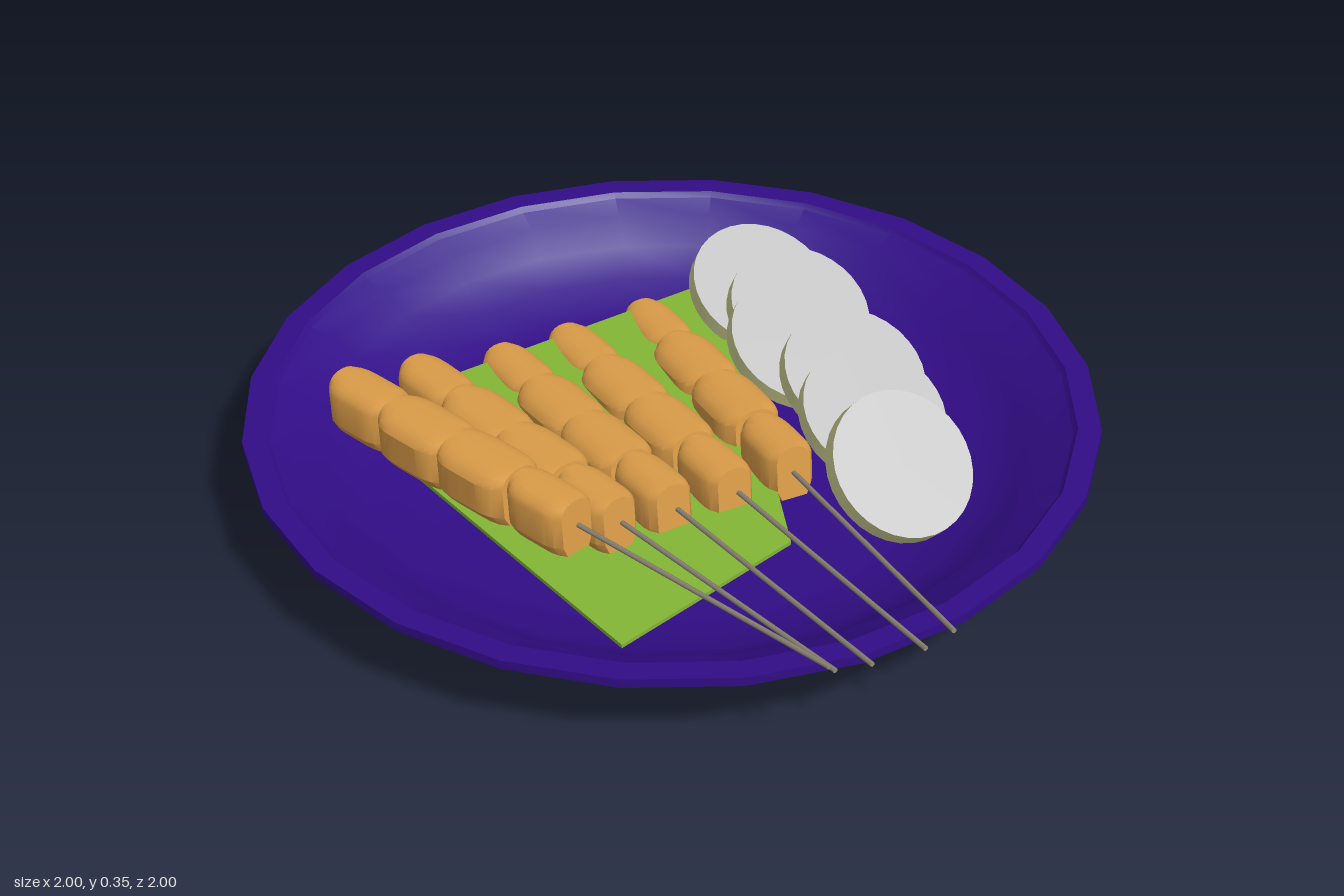
import * as THREE from 'three';
import { toCreasedNormals } from 'three/addons/utils/BufferGeometryUtils.js';

const flat = (name, color) => {
  const m = new THREE.MeshStandardMaterial({ color });
  m.name = name;
  return m;
};

const mats = {
  plate: flat('indigo glaze', 0x320d88),
  leaf: flat('leaf green', 0x84b636),
  meat: flat('golden brown', 0xdf9f4a),
  stick: flat('stick grey', 0x8e8676),
  slice: flat('slice grey', 0xc0c0c0),
  rind: flat('pale yellow rind', 0xd4d698),
};

function add(parent, name, geometry, material) {
  const mesh = new THREE.Mesh(geometry, material);
  mesh.name = name;
  parent.add(mesh);
  return mesh;
}

// Plate: closed lathe from underside centre, around the rim, to inside centre
function plateGeometry() {
  const profile = [
    [0, 0.04], [0.28, 0.04], [0.29, 0.046], [0.565, 0.046], [0.575, 0], [0.6, 0],
    [0.6, 0.033], [0.68, 0.05], [0.76, 0.088], [0.83, 0.138], [0.89, 0.184],
    [0.945, 0.205], [1, 0.212], [1, 0.235], [0.945, 0.235], [0.935, 0.222],
    [0.88, 0.2], [0.82, 0.15], [0.74, 0.1], [0.6, 0.07], [0.3, 0.064], [0, 0.064],
  ].map(([x, y]) => new THREE.Vector2(x, y));
  return toCreasedNormals(new THREE.LatheGeometry(profile, 24), 0.55);
}

// Leaf: a thin four-cornered sheet, slightly raised towards the back
function leafGeometry() {
  const corners = [[-0.69, 0.37], [-0.16, 0.45], [0.62, -0.3], [-0.42, -0.65]];
  const shape = new THREE.Shape(corners.map(([x, z]) => new THREE.Vector2(x, -z)));
  const g = new THREE.ExtrudeGeometry(shape, { depth: 0.01, bevelEnabled: false });
  g.rotateX(-Math.PI / 2);
  const p = g.attributes.position;
  for (let i = 0; i < p.count; i++) {
    p.setY(i, p.getY(i) + 0.135 - 0.03 * p.getZ(i) - 0.02 * p.getX(i));
  }
  g.computeVertexNormals();
  return g;
}

// Chunk: domed cross-section run along z, pinched in at both ends
function chunkGeometry(w, h, l) {
  const a = w / 2, b = h / 2;
  const s = new THREE.Shape();
  s.moveTo(-a * 0.75, -b);
  s.lineTo(a * 0.75, -b);
  s.lineTo(a, -b * 0.6);
  s.lineTo(a, b * 0.5);
  s.quadraticCurveTo(a * 0.85, b, 0, b);
  s.quadraticCurveTo(-a * 0.85, b, -a, b * 0.5);
  s.lineTo(-a, -b * 0.6);
  s.closePath();
  const g = new THREE.ExtrudeGeometry(s, { depth: l, steps: 10, bevelEnabled: false, curveSegments: 5 });
  g.translate(0, 0, -l / 2);
  const p = g.attributes.position;
  for (let i = 0; i < p.count; i++) {
    const t = Math.abs(p.getZ(i)) / (l / 2);
    p.setX(i, p.getX(i) * (1 - 0.32 * t ** 5));
  }
  return toCreasedNormals(g, 0.5);
}

// Skewer: stick from the handle tip to the rear chunk, with four chunks on it
function skewer({ tip, front, back }) {
  const group = new THREE.Group();
  group.name = 'skewer';
  const vTip = new THREE.Vector3(...tip);
  const vBack = new THREE.Vector3(...back);
  // Height of the front chunk follows the stick
  const k = (front[1] - back[2]) / (tip[2] - back[2]);
  const vFront = new THREE.Vector3(front[0], back[1] + k * (tip[1] - back[1]), front[1]);

  const stick = new THREE.CylinderGeometry(0.006, 0.006, vTip.distanceTo(vBack), 6);
  stick.rotateX(Math.PI / 2);
  const rod = add(group, 'stick', stick, mats.stick);
  rod.position.copy(vTip).add(vBack).multiplyScalar(0.5);
  rod.lookAt(vTip);

  const sizes = [[0.13, 0.19], [0.155, 0.225], [0.155, 0.225], [0.125, 0.18]];
  sizes.forEach(([w, l], i) => {
    const chunk = add(group, 'chunk', chunkGeometry(w, 0.135, l), mats.meat);
    chunk.position.lerpVectors(vBack, vFront, i / 3);
    chunk.lookAt(chunk.position.clone().add(vFront).sub(vBack));
  });
  return group;
}

// Slice: round disc with a rind, leaning back so its face looks forward
function slice(x, y, z, tilt) {
  const disc = add(new THREE.Group(), 'slice',
    new THREE.CylinderGeometry(0.178, 0.178, 0.042, 32), [mats.rind, mats.slice, mats.slice]);
  const t = THREE.MathUtils.degToRad(tilt);
  const normal = new THREE.Vector3(-0.3 * Math.sin(t), Math.cos(t), 0.954 * Math.sin(t));
  disc.quaternion.setFromUnitVectors(new THREE.Vector3(0, 1, 0), normal.normalize());
  disc.position.set(x, y, z);
  return disc;
}

export function createModel() {
  const model = new THREE.Group();
  model.name = 'skewerPlatter';
  add(model, 'plate', plateGeometry(), mats.plate);
  add(model, 'leaf', leafGeometry(), mats.leaf);

  // Skewers from the model's right to its left
  [
    { tip: [-0.67, 0.33, 0.89], front: [-0.535, 0.055], back: [-0.43, 0.238, -0.555] },
    { tip: [-0.63, 0.288, 0.88], front: [-0.405, 0.085], back: [-0.22, 0.165, -0.53] },
    { tip: [-0.55, 0.27, 0.92], front: [-0.25, 0.13], back: [-0.015, 0.117, -0.445] },
    { tip: [-0.42, 0.25, 0.97], front: [-0.1, 0.195], back: [0.155, 0.107, -0.38] },
    { tip: [-0.34, 0.255, 0.99], front: [0.055, 0.26], back: [0.36, 0.097, -0.305] },
  ].forEach((s) => model.add(skewer(s)));

  // Overlapping fan of slices
  [
    [0.13, 0.215, 0.55, 40], [0.285, 0.195, 0.375, 28], [0.39, 0.195, 0.25, 28],
    [0.435, 0.195, 0.065, 28], [0.54, 0.195, -0.01, 28], [0.57, 0.195, -0.145, 28],
  ].forEach((s) => model.add(slice(...s)));

  return model;
}
